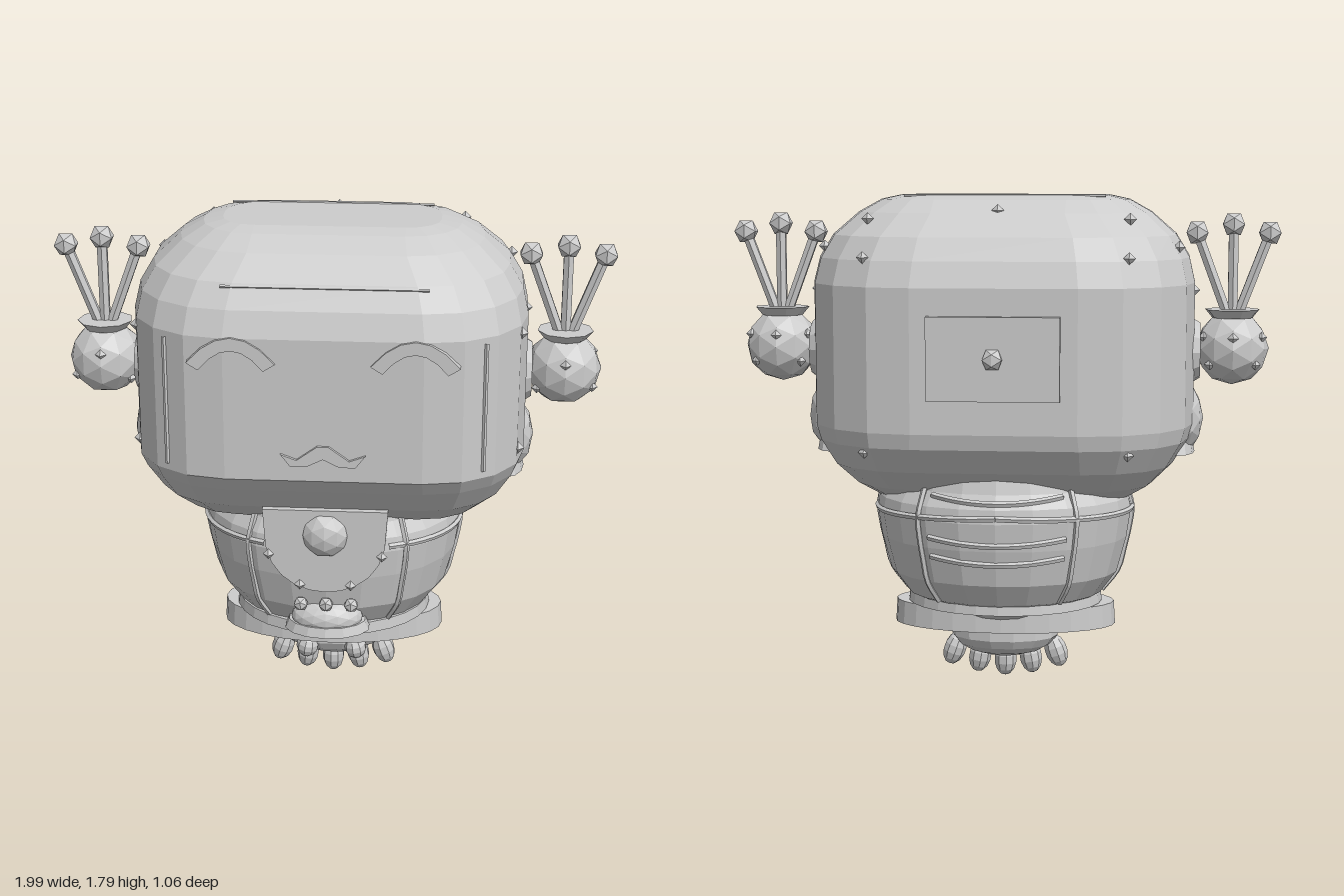
import * as THREE from 'three';

const grey = new THREE.MeshStandardMaterial({ color: 0xcccccc });
grey.name = 'lightGrey';
const V = (x, y, z) => new THREE.Vector3(x, y, z);

// Faceted mesh with one normal per face
function part(parent, name, geo, pos = [0, 0, 0], scale = [1, 1, 1]) {
  const g = geo.index ? geo.toNonIndexed() : geo;
  g.scale(...scale);
  g.computeVertexNormals();
  const m = new THREE.Mesh(g, grey);
  m.name = name;
  m.position.set(...pos);
  parent.add(m);
  return m;
}

const tube = (pts, r, n = 16, sides = 5) =>
  new THREE.TubeGeometry(new THREE.CatmullRomCurve3(pts), n, r, sides);

// Closed solid from stacked rings, lowest first; points run anticlockwise seen from above
function loft(rings) {
  const n = rings[0].length, pos = [], idx = [];
  rings.forEach(r => r.forEach(p => pos.push(p.x, p.y, p.z)));
  for (let i = 0; i < rings.length - 1; i++)
    for (let j = 0; j < n; j++) {
      const a = i * n + j, b = i * n + (j + 1) % n;
      idx.push(a, b, b + n, a, b + n, a + n);
    }
  const top = (rings.length - 1) * n;
  for (let j = 1; j < n - 1; j++) {
    idx.push(0, j + 1, j);
    idx.push(top, top + j, top + j + 1);
  }
  const g = new THREE.BufferGeometry();
  g.setAttribute('position', new THREE.Float32BufferAttribute(pos, 3));
  g.setIndex(idx);
  return g;
}

// Rounded rectangle ring, with slightly rounder corners at the back
function roundRing(y, hx, zf, zb, r, k = 4) {
  const out = [], q = r * 1.14;
  const corners = [[hx - r, zf - r, -90, r], [hx - q, zb + q, 0, q], [-hx + q, zb + q, 90, q], [-hx + r, zf - r, 180, r]];
  for (const [cx, cz, start, rad] of corners)
    for (let i = 0; i <= k; i++) {
      const a = (start + 90 * i / k) * Math.PI / 180;
      out.push(V(cx + rad * Math.cos(a), y, cz - rad * Math.sin(a)));
    }
  return out;
}

// Body outline: radius, height
const profile = [[0.01, 0.22], [0.2, 0.24], [0.27, 0.3], [0.36, 0.34], [0.42, 0.42], [0.455, 0.55],
  [0.47, 0.65], [0.462, 0.7], [0.43, 0.75], [0.4, 0.85]];
const DEPTH = 0.86;
function bodyPoint(deg, y) {
  let i = 1;
  while (i < profile.length - 2 && profile[i + 1][1] < y) i++;
  const [r0, y0] = profile[i], [r1, y1] = profile[i + 1];
  const r = r0 + (r1 - r0) * (y - y0) / (y1 - y0), a = deg * Math.PI / 180;
  return V(r * Math.sin(a), y, r * DEPTH * Math.cos(a));
}

function buildHead(root) {
  const head = new THREE.Group();
  head.name = 'head';
  root.add(head);
  // height, half width, front, back, corner radius
  const layers = [[0.7, 0.46, 0.16, -0.17, 0.13], [0.75, 0.54, 0.29, -0.29, 0.22], [0.83, 0.615, 0.4, -0.4, 0.28],
    [0.92, 0.67, 0.468, -0.46, 0.33], [0.975, 0.688, 0.508, -0.475, 0.35], [1.48, 0.688, 0.508, -0.475, 0.35],
    [1.57, 0.668, 0.478, -0.445, 0.34], [1.65, 0.62, 0.43, -0.4, 0.31], [1.73, 0.53, 0.345, -0.31, 0.26],
    [1.775, 0.45, 0.26, -0.21, 0.19], [1.79, 0.38, 0.2, -0.13, 0.12]];
  part(head, 'headShell', loft(layers.map(l => roundRing(...l))));

  // Smiling eyes: crescent plates
  for (const s of [-1, 1]) {
    const eye = new THREE.Shape();
    eye.moveTo(-0.15, -0.01);
    eye.quadraticCurveTo(0, 0.17, 0.15, -0.01);
    eye.lineTo(0.11, -0.035);
    eye.quadraticCurveTo(0, 0.105, -0.11, -0.035);
    part(head, 'eye', new THREE.ExtrudeGeometry(eye, { depth: 0.04, bevelEnabled: false, curveSegments: 6 }),
      [s * 0.31, 1.405, 0.478]);
  }
  // Mouth: two small curls meeting in the middle
  const mouth = new THREE.Shape();
  [[-0.145, 1.075], [-0.11, 1.03], [-0.05, 1.035], [0, 1.06], [0.05, 1.035], [0.11, 1.03], [0.145, 1.075],
    [0.09, 1.055], [0.02, 1.105], [-0.02, 1.105], [-0.09, 1.055]].forEach(([x, y], i) =>
    i ? mouth.lineTo(x, y) : mouth.moveTo(x, y));
  part(head, 'mouth', new THREE.ExtrudeGeometry(mouth, { depth: 0.02, bevelEnabled: false }), [0, 0, 0.5]);

  // Back hatch with knob
  part(head, 'backPanel', new THREE.BoxGeometry(0.46, 0.29, 0.04), [0, 1.24, -0.486]);
  part(head, 'backKnob', new THREE.IcosahedronGeometry(0.04, 0), [0, 1.24, -0.51], [1, 1, 0.8]);

  // Rivets
  const rivets = [[0, 1.74, -0.29], [0.665, 1.45, 0.28], [0.665, 1.03, 0.28], [0.685, 1.45, -0.02],
    [0.46, 1.71, -0.27], [0.46, 1.58, -0.4], [0.46, 0.9, -0.4], [0.63, 1.61, -0.17]];
  for (const [x, y, z] of rivets)
    for (const s of x ? [-1, 1] : [1])
      part(head, 'rivet', new THREE.OctahedronGeometry(0.022, 0), [s * x, y, z]);

  // Fine seams on crown and around the face
  part(head, 'faceSeam', tube([V(-0.35, 1.64, 0.435), V(0.35, 1.64, 0.435)], 0.006, 4));
  part(head, 'crownSeam', tube([V(-0.37, 1.789, -0.125), V(0.35, 1.789, -0.125)], 0.005, 4));
  for (const s of [-1, 1])
    part(head, 'sideSeam', tube([V(s * 0.545, 1.0, 0.435), V(s * 0.545, 1.46, 0.435)], 0.008, 4));
}

function buildEar(root, s) {
  const ear = new THREE.Group();
  ear.name = s > 0 ? 'leftEar' : 'rightEar';
  root.add(ear);
  const C = V(s * 0.825, 1.24, 0.01);
  part(ear, 'earBall', new THREE.IcosahedronGeometry(0.133, 1), C.toArray());
  part(ear, 'earMount', new THREE.CylinderGeometry(0.1, 0.125, 0.04, 12).rotateZ(-s * Math.PI / 2), [s * 0.69, 1.23, 0.01]);
  part(ear, 'earCap', new THREE.CylinderGeometry(0.1, 0.075, 0.03, 9), [s * 0.825, 1.365, 0.01]);
  // Three antennae with ball tips
  for (const [x, y] of [[0.695, 1.655], [0.825, 1.685], [0.955, 1.655]]) {
    const tip = V(s * x, y, 0.01);
    const base = V(s * (0.825 + (x - 0.825) * 0.15), 1.36, 0.01);
    part(ear, 'antenna', tube([base, tip], 0.02, 1, 6));
    part(ear, 'antennaTip', new THREE.IcosahedronGeometry(0.046, 0), tip.toArray());
  }
  // Studs around the ball
  for (const [a, b] of [[20, 30], [20, 90], [20, 150], [-25, 45], [-25, 135], [-25, -30], [20, -90], [-30, -150]]) {
    const d = V(1, 0, 0).applyEuler(new THREE.Euler(0, b * Math.PI / 180, a * Math.PI / 180, 'YZX'));
    part(ear, 'stud', new THREE.OctahedronGeometry(0.02, 0), [C.x + s * d.x * 0.127, C.y + d.y * 0.127, C.z + d.z * 0.127]);
  }
  // Rounded cheek pod below, with rim
  part(ear, 'cheekPod', new THREE.IcosahedronGeometry(1, 1), [s * 0.645, 0.985, 0.01], [0.08, 0.13, 0.13]);
  part(ear, 'cheekRim', new THREE.CylinderGeometry(0.11, 0.13, 0.05, 12), [s * 0.63, 0.885, 0.01], [0.5, 1, 1]);
}

function buildBody(root) {
  const body = new THREE.Group();
  body.name = 'body';
  root.add(body);
  part(body, 'torso', new THREE.LatheGeometry(profile.map(p => new THREE.Vector2(...p)), 22), [0, 0, 0], [1, 1, DEPTH]);

  // Two-step hem: wide shallow base under a rounder band
  part(body, 'hemBase', new THREE.CylinderGeometry(0.405, 0.41, 0.085, 28), [0, 0.253, 0.01], [1, 1, 0.5]);
  part(body, 'hemBand', new THREE.CylinderGeometry(0.355, 0.36, 0.04, 28), [0, 0.318, 0.015], [1, 1, 0.86]);

  // Straps, waist band and folds following the torso
  for (const deg of [37, 90, 143, 217, 270, 323])
    part(body, 'strap', tube([0.34, 0.42, 0.5, 0.58, 0.66, 0.72, 0.8].map(y => bodyPoint(deg, y)), 0.011));
  const arc = (a, b, y, wave) => Array.from({ length: 13 }, (_, i) =>
    bodyPoint(a + (b - a) * i / 12, y + wave * Math.sin(i / 12 * Math.PI)));
  for (const [a, b] of [[28, 180], [180, 332]])
    part(body, 'waistBand', tube(arc(a, b, 0.67, -0.015), 0.011, 24));
  for (const y of [0.52, 0.59, 0.74])
    part(body, 'backFold', tube(arc(148, 212, y, -0.02), 0.011));

  // Bib plate with rounded lower edge
  const bib = new THREE.Shape();
  bib.moveTo(0.22, 0.83);
  bib.lineTo(-0.22, 0.83);
  bib.lineTo(-0.21, 0.69);
  bib.bezierCurveTo(-0.17, 0.46, 0.17, 0.46, 0.21, 0.69);
  part(body, 'bib', new THREE.ExtrudeGeometry(bib, { depth: 0.08, bevelEnabled: false, curveSegments: 10 }), [0, 0, 0.345]);
  part(body, 'bibButton', new THREE.IcosahedronGeometry(0.088, 1), [0, 0.735, 0.4], [1, 1, 0.75]);
  for (const x of [-0.2, -0.09, 0.09, 0.2])
    part(body, 'bibStud', new THREE.OctahedronGeometry(0.02, 0), [x, Math.abs(x) > 0.1 ? 0.66 : 0.545, 0.425]);

  // Domed buckle with beads
  part(body, 'buckleBase', new THREE.CylinderGeometry(0.14, 0.155, 0.035, 14), [0, 0.35, 0.32], [1, 1, 0.68]);
  part(body, 'buckleDome', new THREE.IcosahedronGeometry(1, 2), [0, 0.38, 0.33], [0.13, 0.07, 0.08]);
  for (const x of [-0.09, 0, 0.09])
    part(body, 'buckleBead', new THREE.IcosahedronGeometry(0.028, 0), [x, 0.45, 0.385]);
}

function buildFeet(root) {
  const feet = new THREE.Group();
  feet.name = 'feet';
  root.add(feet);
  part(feet, 'footPad', new THREE.SphereGeometry(1, 14, 9), [0, 0.18, 0], [0.2, 0.095, 0.14]);
  // Row of rounded toes, then two in front
  for (const [x, y, z] of [[0, 0.064, 0.02], [0.095, 0.075, 0.02], [-0.095, 0.075, 0.02], [0.19, 0.1, 0.02],
    [-0.19, 0.1, 0.02], [0.09, 0.15, 0.12], [-0.09, 0.15, 0.12]]) {
    const toe = part(feet, 'toe', new THREE.SphereGeometry(1, 9, 7), [x, y, z], [0.042, z > 0.1 ? 0.045 : 0.064, 0.046]);
    toe.rotation.z = x * 1.8;
  }
}

export function createModel() {
  const root = new THREE.Group();
  root.name = 'robotFigure';
  buildHead(root);
  for (const s of [-1, 1]) buildEar(root, s);
  buildBody(root);
  buildFeet(root);
  return root;
}
